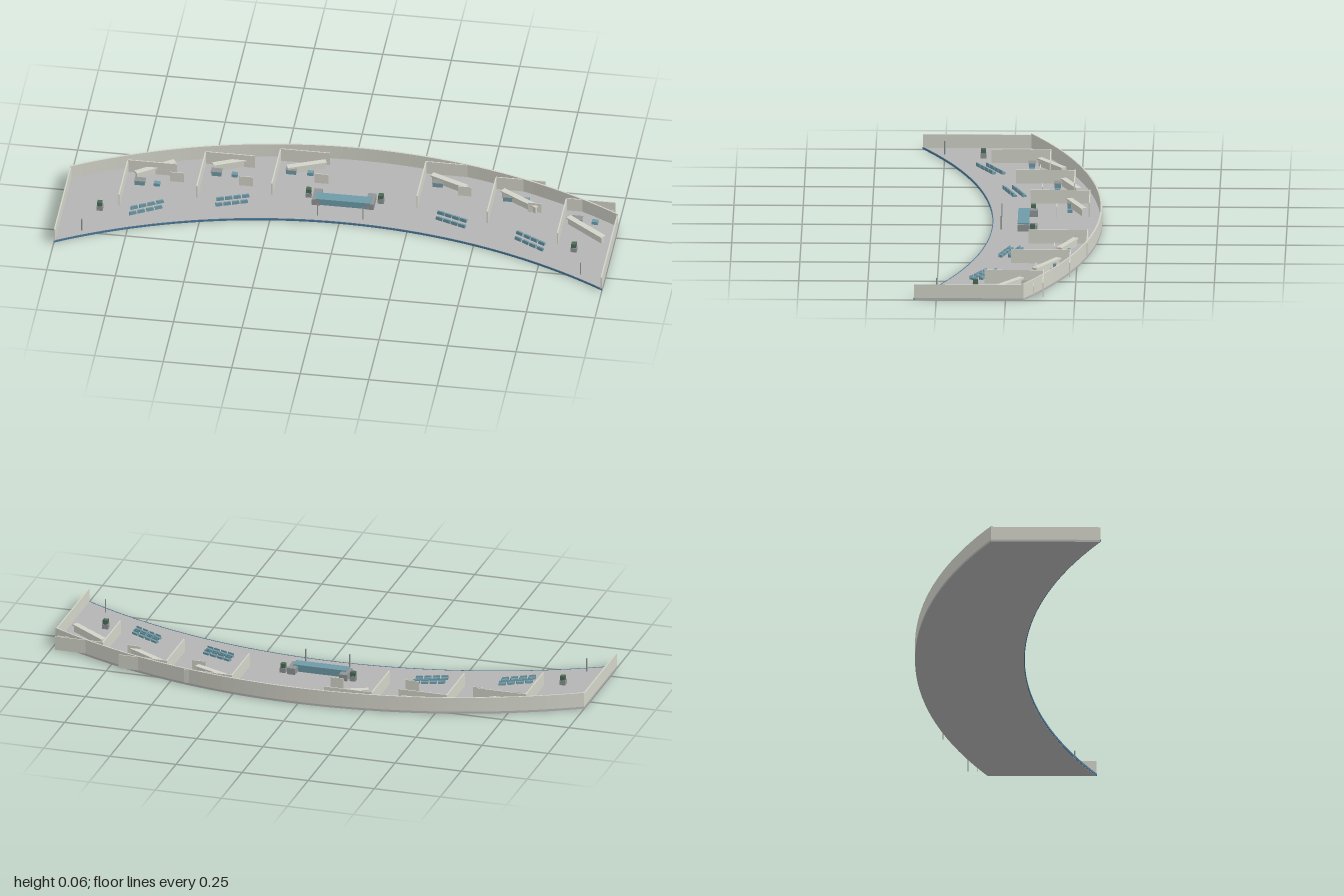
import * as THREE from 'three';

const mat = (color, extra = {}) => new THREE.MeshStandardMaterial({ color, ...extra });
const FLOOR = mat(0xb4b4b4), WALL = mat(0xd2d3c8), BLUE = mat(0x6f9aa8), STEEL = mat(0x8f9494);
const TRIM = mat(0x4d7896), GREEN = mat(0x4c6b58);
const TOP = 0.008; // floor surface height

// z of the circular edge (radius 2) whose nearest-to-back point is z0
const arcZ = (x, z0) => z0 + 2 - Math.sqrt(4 - x * x);

// Extruded band between two parallel arcs, from y0 up to y1
function arcBand(zBack, zFront, y0, y1, material, name) {
  const shape = new THREE.Shape(), n = 48;
  for (let i = 0; i <= n; i++) {
    const x = -1 + 2 * i / n;
    if (i) shape.lineTo(x, -arcZ(x, zFront));
    else shape.moveTo(x, -arcZ(x, zFront));
  }
  for (let i = n; i >= 0; i--) {
    const x = -1 + 2 * i / n;
    shape.lineTo(x, -arcZ(x, zBack));
  }
  const g = new THREE.ExtrudeGeometry(shape, { depth: y1 - y0, bevelEnabled: false });
  g.rotateX(-Math.PI / 2).translate(0, y0, 0);
  const mesh = new THREE.Mesh(g, material);
  mesh.name = name;
  return mesh;
}

// Box standing on height y
function box(name, material, w, h, d, x, y, z, ry = 0) {
  const mesh = new THREE.Mesh(new THREE.BoxGeometry(w, h, d), material);
  mesh.name = name;
  mesh.position.set(x, y + h / 2, z);
  mesh.rotation.y = ry;
  return mesh;
}

// Counter running between two floor points: a slab on a recessed panel
function counter([x0, z0], [x1, z1]) {
  const g = new THREE.Group();
  g.name = 'angledCounter';
  const len = Math.hypot(x1 - x0, z1 - z0);
  g.add(
    box('counterBody', WALL, len * 0.96, 0.024, 0.012, 0, 0, 0),
    box('counterTop', WALL, len, 0.006, 0.022, 0, 0.024, 0)
  );
  g.position.set((x0 + x1) / 2, TOP, (z0 + z1) / 2);
  g.rotation.y = -Math.atan2(z1 - z0, x1 - x0);
  return g;
}

// Small desk and stool
function deskSet(x, z, gap) {
  const g = new THREE.Group();
  g.name = 'deskSet';
  g.add(
    box('deskBody', BLUE, 0.036, 0.016, 0.022, 0, 0, 0),
    box('deskTop', STEEL, 0.04, 0.003, 0.026, 0, 0.016, 0),
    box('stool', BLUE, 0.022, 0.012, 0.018, gap, 0, 0)
  );
  g.position.set(x, TOP, z);
  return g;
}

// Two slanted rows of seats
function seating(x, z, slope, side) {
  const g = new THREE.Group();
  g.name = 'seating';
  for (let row = 0; row < 2; row++) {
    for (let i = 0; i < 4; i++) {
      const t = (i - 1.5) * 0.029;
      const px = x + t, pz = z + row * 0.035 + side * slope * t;
      const ry = -Math.atan(side * slope);
      g.add(box('seat', BLUE, 0.025, 0.008, 0.013, px, TOP, pz, ry));
      g.add(box('seatBack', BLUE, 0.025, 0.014, 0.003, px, TOP, pz + 0.006, ry));
    }
  }
  return g;
}

function planter(x, z) {
  const g = new THREE.Group();
  g.name = 'planter';
  g.add(
    box('pot', STEEL, 0.022, 0.018, 0.022, 0, 0, 0),
    box('foliage', GREEN, 0.018, 0.016, 0.018, 0, 0.018, 0)
  );
  g.position.set(x, TOP, z);
  return g;
}

export function createModel() {
  const model = new THREE.Group();
  model.name = 'curvedHall';

  // Floor, front trim and perimeter walls
  model.add(arcBand(-0.333, 0.06, 0, TOP, FLOOR, 'floor'));
  model.add(arcBand(0.06, 0.063, 0.001, TOP + 0.001, TRIM, 'frontTrim'));
  model.add(arcBand(-0.333, -0.327, TOP, 0.062, WALL, 'backWall'));
  for (const s of [-1, 1])
    model.add(box('sideWall', WALL, 0.005, 0.05, 0.395, s * 0.9975, TOP, 0.132));

  // Bays: [divider x, back panel z, counter ends, desk x/z, stool offset, screen x/z]
  const bays = [
    [-0.8, -0.135, [-0.765, -0.094], [-0.636, -0.185], -0.745, -0.068, 0.062, -0.615, -0.1],
    [-0.53, -0.227, [-0.497, -0.185], [-0.364, -0.243], -0.48, -0.165, 0.066, -0.365, -0.112],
    [-0.265, -0.285, [-0.23, -0.21], [-0.096, -0.265], -0.215, -0.215, 0.07, -0.098, -0.168],
    [0.265, -0.285, [0.294, -0.243], [0.428, -0.185], 0.32, -0.215, 0.06, 0.425, -0.168],
    [0.53, -0.227, [0.56, -0.185], [0.7, -0.1], 0.585, -0.165, 0.065, 0.69, -0.105],
    [0.8, -0.135, [0.82, -0.056], [0.963, 0.05], 0.85, -0.068, 0.065, 0.955, -0.1]
  ];
  for (const [x, z, a, b, dx, dz, gap, sx, sz] of bays) {
    model.add(
      box('bayDivider', WALL, 0.005, 0.05, 0.215, x, TOP, z + 0.107),
      box('bayBackPanel', WALL, 0.18, 0.052, 0.004, x + 0.09, TOP, z),
      counter(a, b),
      deskSet(dx, dz, gap),
      box('screen', WALL, 0.05, 0.04, 0.003, sx, TOP, sz)
    );
  }

  // Audience seats, planters and thin posts on both sides
  for (const s of [-1, 1]) {
    model.add(seating(s * 0.7, 0.062, 0.55, s));
    model.add(seating(s * 0.4, -0.028, 0.36, s));
    model.add(planter(s * 0.865, 0.11), planter(s * 0.132, -0.083));
    for (const [x, z] of [[0.91, 0.25], [0.083, 0.03]]) {
      const post = new THREE.Mesh(new THREE.CylinderGeometry(0.0025, 0.0025, 0.05, 8), STEEL);
      post.name = 'post';
      post.position.set(s * x, TOP + 0.025, z);
      model.add(post);
    }
    model.add(box('receptionWing', STEEL, 0.03, 0.024, 0.07, s * 0.098, TOP, -0.065));
  }

  // Central reception counter
  model.add(box('receptionBody', BLUE, 0.19, 0.024, 0.034, 0, TOP, -0.05));
  model.add(box('receptionTop', BLUE, 0.2, 0.004, 0.042, 0, TOP + 0.024, -0.05));
  return model;
}
